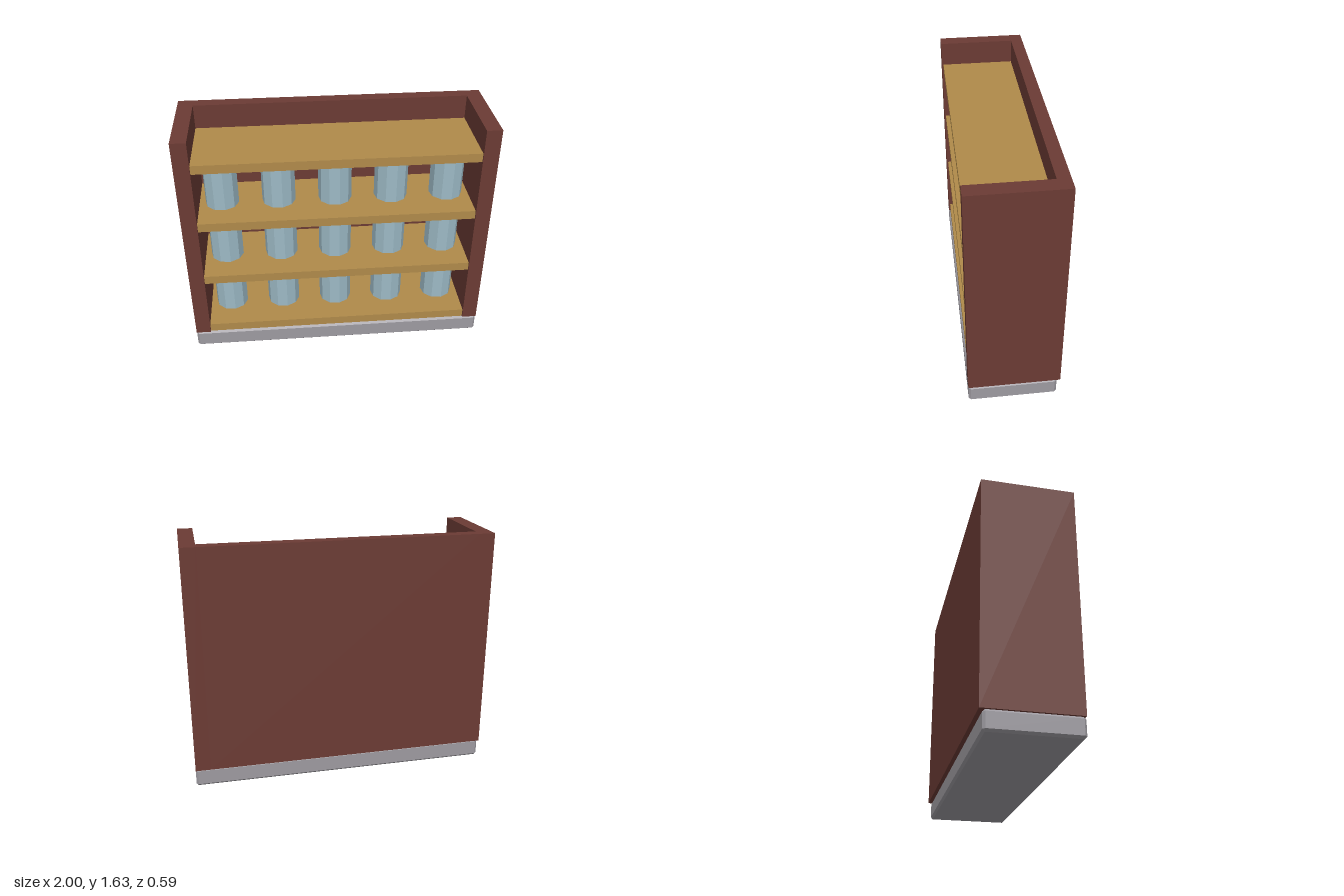
import * as THREE from 'three';
import { ConvexGeometry } from 'three/addons/geometries/ConvexGeometry.js';

function material(name, color) {
  const m = new THREE.MeshStandardMaterial({ color });
  m.name = name;
  return m;
}

// Box with all edges cut at 45 degrees by c
function chamferBox(w, h, d, c) {
  const points = [];
  for (const sx of [-1, 1]) for (const sy of [-1, 1]) for (const sz of [-1, 1]) {
    for (let full = 0; full < 3; full++) {
      const inset = [0, 1, 2].map((axis) => (axis === full ? 0 : c));
      points.push(new THREE.Vector3(
        sx * (w / 2 - inset[0]), sy * (h / 2 - inset[1]), sz * (d / 2 - inset[2])));
    }
  }
  return new ConvexGeometry(points);
}

// Faceted cylinder standing on y = 0
function facetedCylinder(radius, height, sides = 10) {
  const g = new THREE.CylinderGeometry(radius, radius, height, sides)
    .rotateY(THREE.MathUtils.degToRad(12))
    .translate(0, height / 2, 0)
    .toNonIndexed();
  g.computeVertexNormals();
  return g;
}

export function createModel() {
  const model = new THREE.Group();
  model.name = 'jarShelf';

  const darkWood = material('dark red wood', 0x6b3b34);
  const lightWood = material('light wood', 0xb08a4a);
  const glass = material('pale blue glass', 0x9cb9c5);
  const stone = material('grey stone', 0x9d9aa0);

  function add(name, geometry, mat, x, y, z, parent = model) {
    const mesh = new THREE.Mesh(geometry, mat);
    mesh.name = name;
    mesh.position.set(x, y, z);
    parent.add(mesh);
    return mesh;
  }

  // Box given by its minimum and maximum corners
  function block(name, mat, [x0, y0, z0], [x1, y1, z1]) {
    return add(name, new THREE.BoxGeometry(x1 - x0, y1 - y0, z1 - z0), mat,
      (x0 + x1) / 2, (y0 + y1) / 2, (z0 + z1) / 2);
  }

  const baseTop = 0.127, top = 1.627, front = 0.296, back = -0.296;

  // Plinth, set in slightly at the back
  add('plinth', chamferBox(2, baseTop, 0.572, 0.015), stone, 0, baseTop / 2, 0.01);

  // Cabinet walls
  block('leftSide', darkWood, [0.9, baseTop, back], [1, top, front]);
  block('rightSide', darkWood, [-1, baseTop, back], [-0.9, top, front]);
  block('backPanel', darkWood, [-0.9, baseTop, back], [0.9, top, -0.215]);

  // Four shelves, the lower three with a row of jars
  const jarGeometry = facetedCylinder(0.111, 0.28);
  const lidGeometry = facetedCylinder(0.095, 0.036);
  for (let row = 0; row < 4; row++) {
    const y = baseTop + row * 0.426;
    block('shelf', lightWood, [-0.9, y, -0.215], [0.9, y + 0.06, 0.285]);
    if (row === 3) continue;
    for (let i = -2; i <= 2; i++) {
      const jar = new THREE.Group();
      jar.name = 'jar';
      jar.position.set(i * 0.375, y + 0.06, 0.025);
      add('jarBody', jarGeometry, glass, 0, 0, 0, jar);
      add('jarLid', lidGeometry, lightWood, 0, 0.28, 0, jar);
      model.add(jar);
    }
  }

  return model;
}
